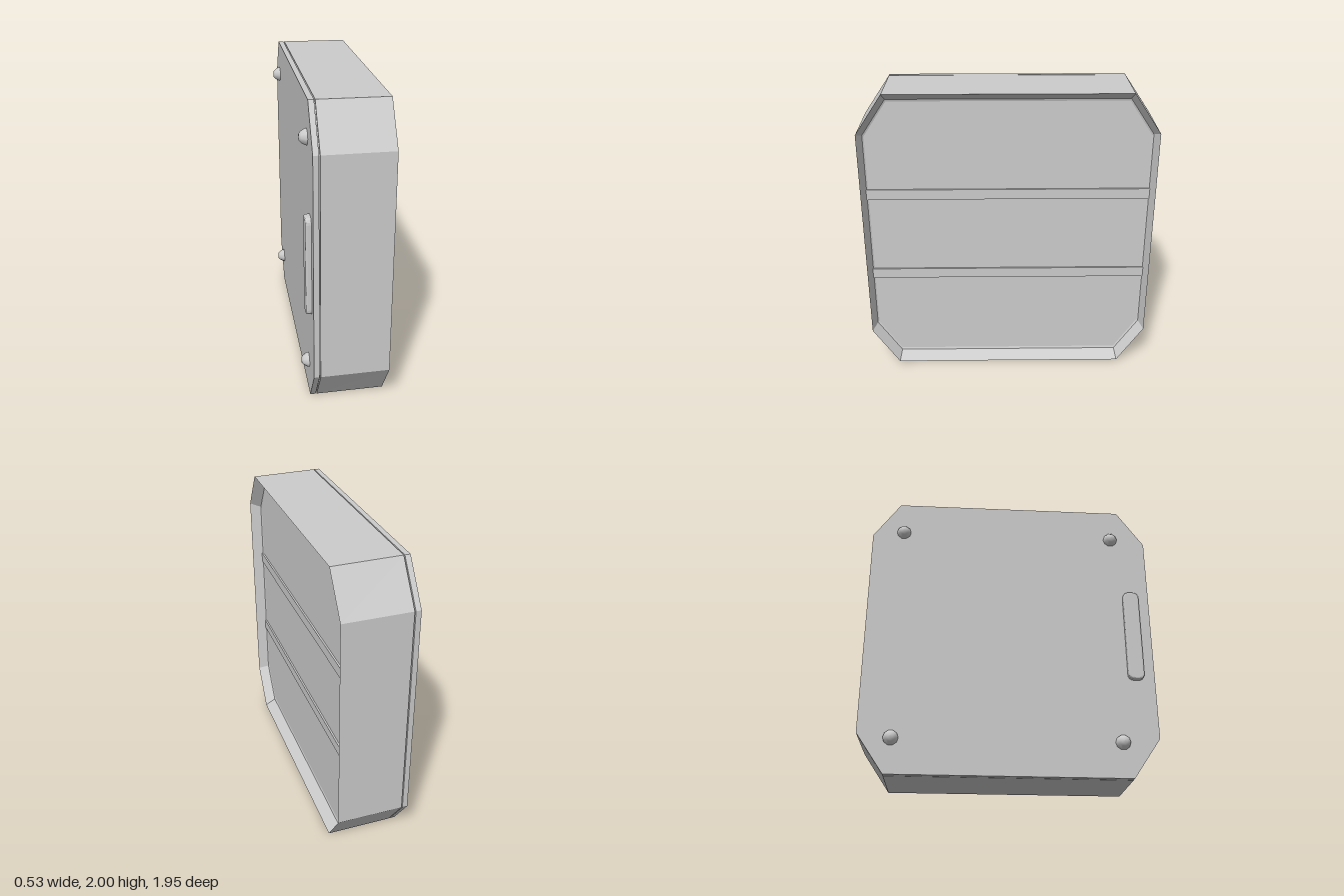
import * as THREE from 'three';

const material = new THREE.MeshStandardMaterial({ color: 0xcccccc });

// Chamfered rectangle at depth x; dy and dz shrink it from the full outline
function ring(x, dy = 0, dz = 0) {
  const hy = 1 - dy, hz = 0.973 - dz, cy = 0.735 - dy * 0.5, cz = 0.79 - dz * 0.4;
  return [[cy, hz], [hy, cz], [hy, -cz], [cy, -hz], [-cy, -hz], [-hy, -cz], [-hy, cz], [-cy, hz]]
    .map(([y, z]) => new THREE.Vector3(x, y + 1, z));
}

// Skin successive rings and close both ends, with flat faces
function loft(rings) {
  const pos = [];
  const tri = (...pts) => pts.forEach(p => pos.push(p.x, p.y, p.z));
  rings.forEach((a, k) => {
    const b = rings[k + 1];
    for (let i = 0; i < 8; i++) {
      const j = (i + 1) % 8;
      if (b) {
        tri(a[i], b[i], b[j]);
        tri(a[i], b[j], a[j]);
      }
      const centre = new THREE.Vector3(a[0].x, 1, 0);
      if (k === 0) tri(centre, a[i], a[j]);
      if (k === rings.length - 1) tri(centre, a[j], a[i]);
    }
  });
  const g = new THREE.BufferGeometry();
  g.setAttribute('position', new THREE.Float32BufferAttribute(pos, 3));
  g.computeVertexNormals();
  return g;
}

export function createModel() {
  const group = new THREE.Group();
  const add = (name, geometry, x = 0, y = 0, z = 0) => {
    const mesh = new THREE.Mesh(geometry, material);
    mesh.name = name;
    mesh.position.set(x, y, z);
    group.add(mesh);
    return mesh;
  };

  // Back plate, and the shallow tray separated from it by a fine groove
  add('backPlate', loft([ring(-0.22), ring(-0.185)]));
  add('tray', loft([
    ring(-0.186, 0.015, 0.015), ring(-0.178, 0.015, 0.015), ring(-0.178), ring(0.263, 0.003, 0.006),
    ring(0.19, 0.055, 0.036), ring(0.185, 0.07, 0.046),
  ]));

  // Two low strips across the recessed floor
  for (const y of [0.7, 1.295]) {
    add('floorStrip', new THREE.BoxGeometry(0.02, 0.07, 1.88), 0.187, y, 0);
  }

  // Four domed studs on the back
  const dome = [[0.05, -0.002], [0.048, 0.012], [0.034, 0.034], [0.02, 0.047], [0, 0.049]]
    .map(([r, h]) => new THREE.Vector2(r, h));
  const stud = new THREE.LatheGeometry(dome, 10).rotateZ(Math.PI / 2);
  for (const y of [0.235, 1.765]) {
    for (const z of [-0.755, 0.73]) add('stud', stud, -0.22, y, z);
  }

  // Rounded grip bar on the back
  const w = 0.042, h = 0.315, c = 0.03;
  const outline = new THREE.Shape();
  outline.moveTo(-w + c, -h);
  outline.lineTo(w - c, -h);
  outline.quadraticCurveTo(w, -h, w, -h + c);
  outline.lineTo(w, h - c);
  outline.quadraticCurveTo(w, h, w - c, h);
  outline.lineTo(-w + c, h);
  outline.quadraticCurveTo(-w, h, -w, h - c);
  outline.lineTo(-w, -h + c);
  outline.quadraticCurveTo(-w, -h, -w + c, -h);
  const grip = new THREE.ExtrudeGeometry(outline, {
    depth: 0.025, curveSegments: 4, bevelThickness: 0.012, bevelSize: 0.012, bevelSegments: 3,
  });
  add('gripBar', grip.rotateY(-Math.PI / 2), -0.218, 0.995, 0.845);

  return group;
}
